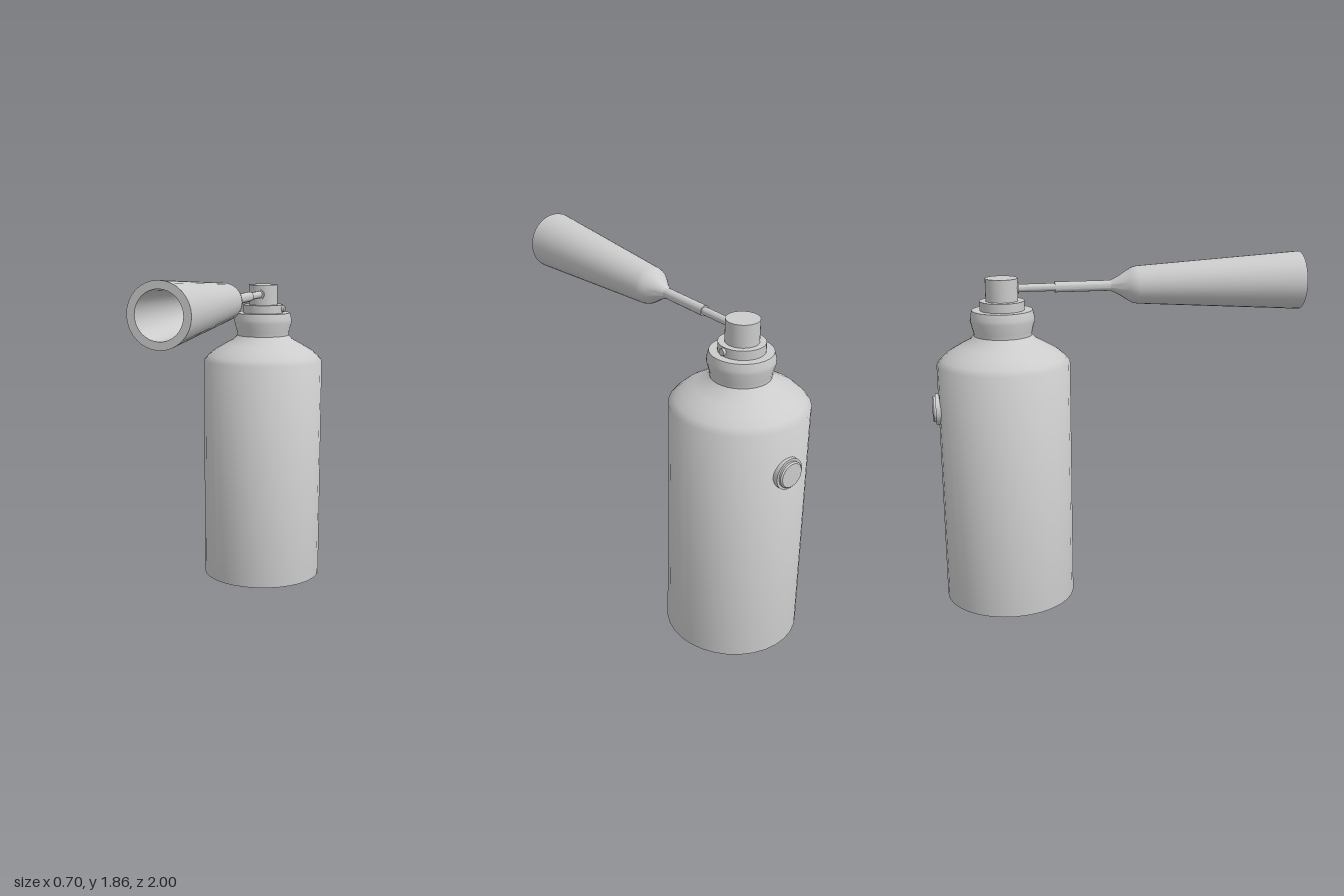
import * as THREE from 'three';
import { toCreasedNormals } from 'three/addons/utils/BufferGeometryUtils.js';

const material = new THREE.MeshStandardMaterial({ color: 0xcccccc });
const AXIS_Z = -0.615; // tank axis
const HOSE_Y = 1.705; // height of the discharge tube

// Turned part from [radius, height] pairs, listed bottom to top.
function turned(name, profile, segments = 32, crease = 0.6) {
  const points = profile.map(([r, y]) => new THREE.Vector2(r, y));
  const geometry = toCreasedNormals(new THREE.LatheGeometry(points, segments), crease);
  const mesh = new THREE.Mesh(geometry, material);
  mesh.name = name;
  return mesh;
}

// Plain closed cylinder between two heights.
const disc = (name, r, y0, y1, segments) =>
  turned(name, [[0, y0], [r, y0], [r, y1], [0, y1]], segments);

export function createModel() {
  const model = new THREE.Group();
  model.name = 'fireExtinguisher';

  // Upright tank with its valve
  const tank = new THREE.Group();
  tank.name = 'tank';
  tank.position.z = AXIS_Z;
  tank.add(
    turned('body', [
      [0, 0], [0.352, 0], [0.352, 1.315], [0.325, 1.345], [0.29, 1.375],
      [0.23, 1.41], [0.175, 1.44], [0.153, 1.463], [0.155, 1.485],
      [0.17, 1.54], [0.169, 1.56], [0.16, 1.595], [0, 1.595],
    ], 32, 0.85),
    disc('valveRing', 0.118, 1.58, 1.643),
    disc('valveCap', 0.085, 1.63, 1.76),
  );

  // Safety pin on the model's left of the valve ring
  const pin = disc('safetyPin', 0.018, 0.09, 0.132, 16);
  pin.rotation.z = -Math.PI / 2;
  pin.position.y = 1.62;
  tank.add(pin);
  model.add(tank);

  // Discharge tube and horn, pointing forward
  const nozzle = new THREE.Group();
  nozzle.name = 'nozzle';
  nozzle.position.y = HOSE_Y;
  nozzle.rotation.x = Math.PI / 2;
  nozzle.add(
    disc('tubeFlange', 0.031, -0.56, -0.526, 20),
    disc('innerTube', 0.021, -0.55, -0.32, 20),
    disc('outerTube', 0.028, -0.338, -0.03, 20),
    turned('horn', [
      [0, -0.042], [0.028, -0.042], [0.048, 0], [0.08, 0.05], [0.094, 0.075],
      [0.1, 0.1], [0.157, 1], [0.118, 1], [0.078, 0.12], [0.04, 0.05], [0, 0.05],
    ]),
  );
  model.add(nozzle);

  // Round gauge on the back of the tank
  const gauge = new THREE.Group();
  gauge.name = 'gauge';
  gauge.position.y = 1.075;
  gauge.rotation.x = -Math.PI / 2;
  gauge.add(
    disc('gaugeRim', 0.083, 0.94, 0.983),
    turned('gaugeFace', [[0, 0.97], [0.07, 0.97], [0.07, 0.993], [0.063, 1], [0, 1]]),
  );
  model.add(gauge);

  return model;
}
